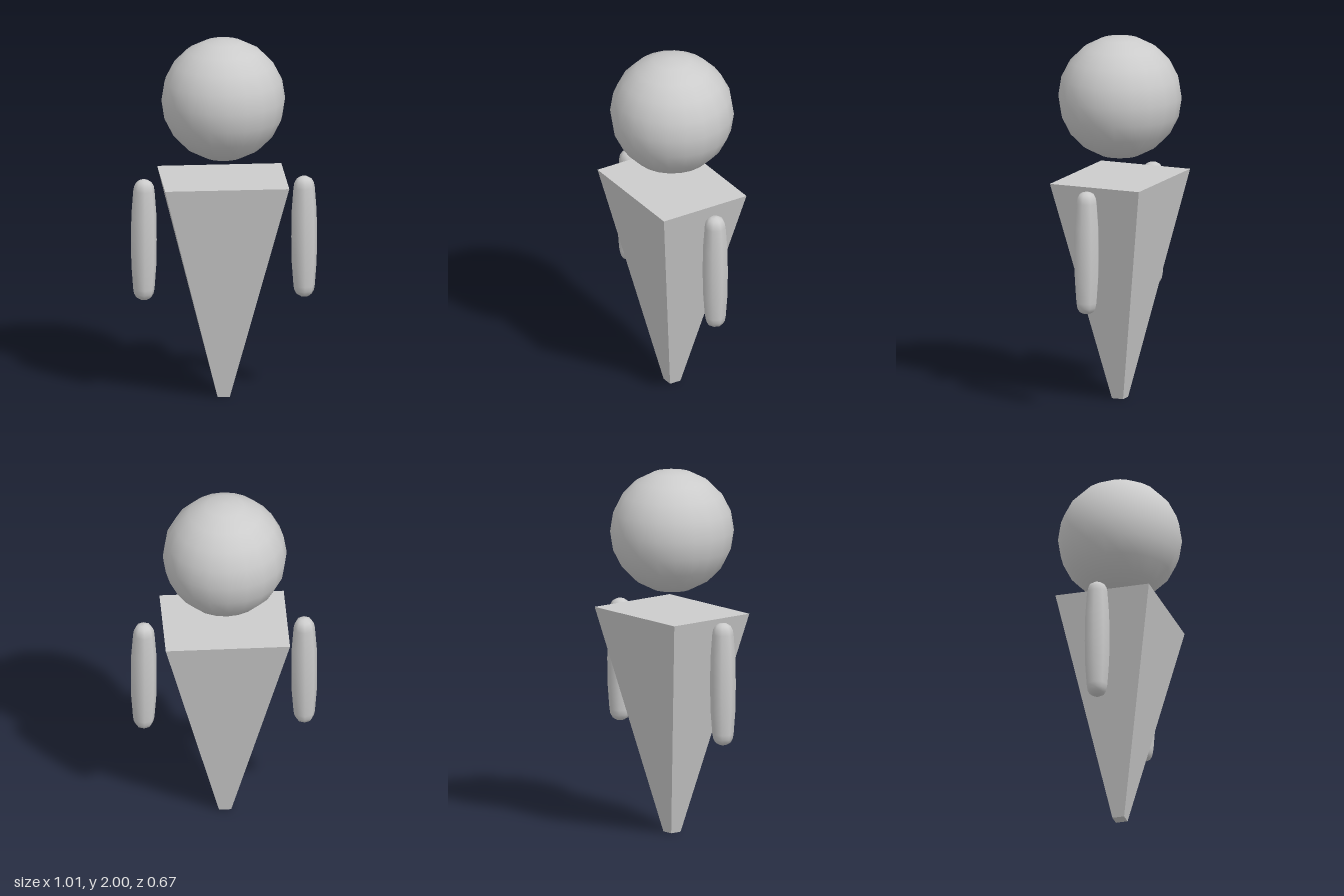
import * as THREE from 'three';

const material = new THREE.MeshStandardMaterial({ color: 0xcccccc });

function addPart(group, name, geometry, x, y, z = 0) {
  const mesh = new THREE.Mesh(geometry, material);
  mesh.name = name;
  mesh.position.set(x, y, z);
  group.add(mesh);
}

// Box narrowing to a small square at the foot
function taperedBox(width, height, depth, foot) {
  const geometry = new THREE.BoxGeometry(width, height, depth);
  const p = geometry.attributes.position;
  for (let i = 0; i < p.count; i++) {
    if (p.getY(i) < 0) {
      p.setX(i, Math.sign(p.getX(i)) * foot / 2);
      p.setZ(i, Math.sign(p.getZ(i)) * foot / 2);
    }
  }
  geometry.computeVertexNormals();
  return geometry;
}

// Eight-sided capsule, slightly thicker at the middle
function armGeometry() {
  const upper = [
    [0.070, 0], [0.068, 0.14], [0.058, 0.275], [0.053, 0.302],
    [0.041, 0.323], [0.022, 0.334], [0, 0.337],
  ];
  const lower = upper.slice(1).reverse().map(([r, y]) => [r, -y]);
  const profile = [...lower, ...upper].map(([r, y]) => new THREE.Vector2(r, y));
  return new THREE.LatheGeometry(profile, 8);
}

export function createModel() {
  const group = new THREE.Group();
  const centreX = -0.006;

  addPart(group, 'head', new THREE.SphereGeometry(0.336, 20, 10), centreX, 1.664);
  addPart(group, 'body', taperedBox(0.674, 1.223, 0.528, 0.066), centreX, 0.6115);

  // Floating arms
  const arm = armGeometry();
  addPart(group, 'leftArm', arm, 0.433, 0.884);
  addPart(group, 'rightArm', arm, -0.437, 0.884);

  return group;
}
